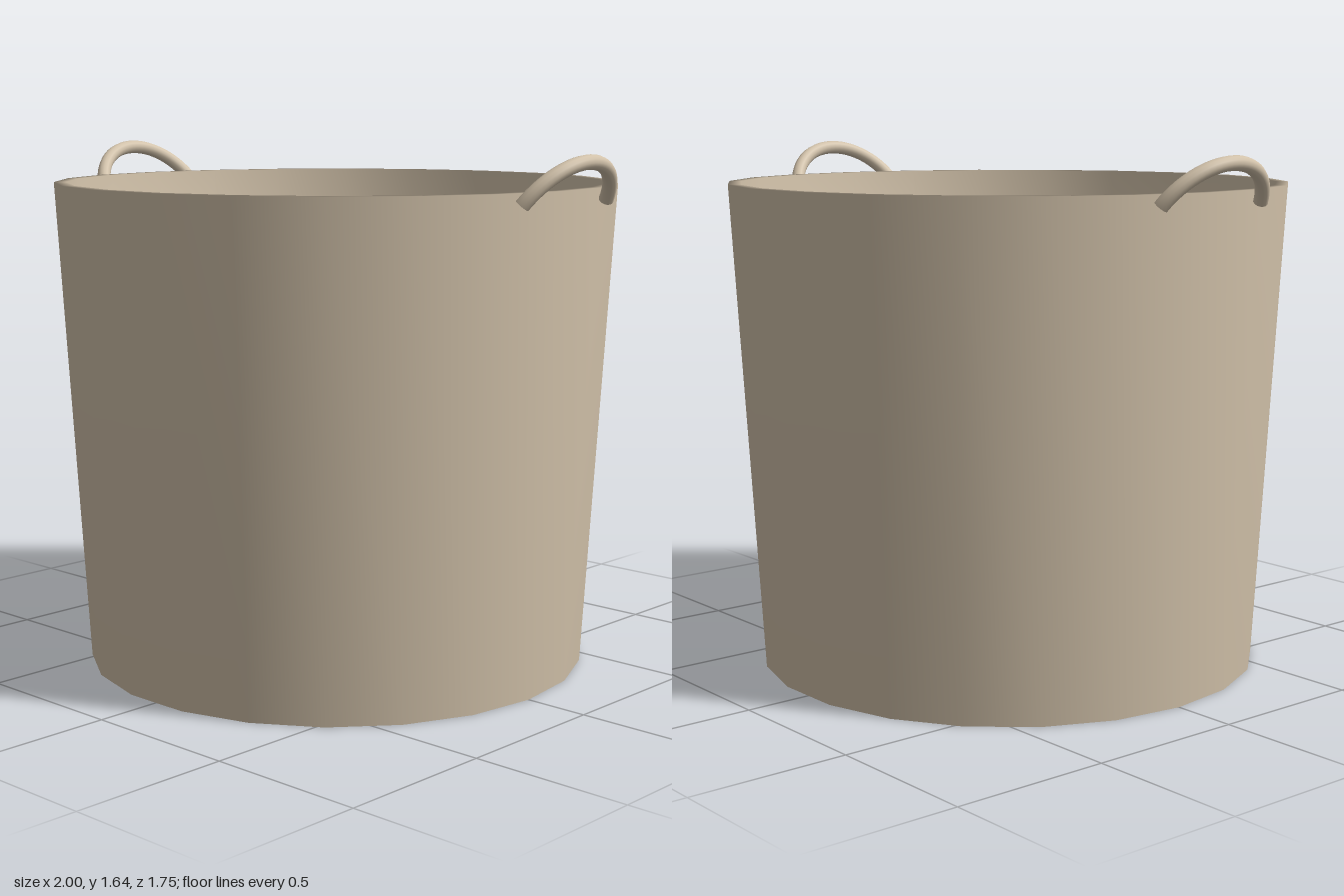
import * as THREE from 'three';
import { mergeGeometries } from 'three/addons/utils/BufferGeometryUtils.js';

const HEIGHT = 1.53;
const WALL = 0.037;
const outerRadius = (y) => 0.797 + (0.885 - 0.797) * (y / HEIGHT);

// Half-hoop with closed ends, feet at the origin's height, bulging up in the ZY plane
function handleGeometry() {
  const radius = 0.211, tube = 0.022, arc = 2 * Math.asin(0.2 / radius);
  const hoop = new THREE.TorusGeometry(radius, tube, 12, 28, arc);
  const startCap = new THREE.CircleGeometry(tube, 12).rotateX(Math.PI / 2).translate(radius, 0, 0);
  const endCap = new THREE.CircleGeometry(tube, 12).rotateX(-Math.PI / 2).translate(radius, 0, 0).rotateZ(arc);
  return mergeGeometries([hoop, startCap, endCap])
    .rotateZ((Math.PI - arc) / 2)
    .translate(0, -radius * Math.cos(arc / 2), 0)
    .rotateY(Math.PI / 2);
}

export function createModel() {
  const model = new THREE.Group();
  model.name = 'basket';
  const beige = new THREE.MeshStandardMaterial({ color: 0xd2c2aa });
  beige.name = 'beige';

  const add = (parent, geometry, name) => {
    const mesh = new THREE.Mesh(geometry, beige);
    mesh.name = name;
    parent.add(mesh);
    return mesh;
  };

  // Tapered 22-sided tub: underside, outer wall, rim, inner wall and floor, softly shaded
  const floorY = 0.035;
  const profile = [
    [0, 0],
    [0.765, 0],
    [outerRadius(0), 0],
    [outerRadius(HEIGHT), HEIGHT],
    [outerRadius(HEIGHT) - WALL, HEIGHT],
    [outerRadius(floorY) - WALL, floorY],
    [0, floorY],
  ].map(([r, y]) => new THREE.Vector2(r, y));
  add(model, new THREE.LatheGeometry(profile, 22, Math.PI / 2), 'tub');

  // Thin round hoops along the inner wall
  for (let i = 1; i <= 5; i++) {
    const y = (HEIGHT * i) / 6;
    const ring = new THREE.TorusGeometry(outerRadius(y) - WALL - 0.003, 0.016, 10, 64).rotateX(Math.PI / 2);
    add(model, ring, 'innerHoop' + i).position.y = y;
  }

  // Outward-tilted handles on both sides
  const hoop = handleGeometry();
  for (const [name, turn] of [['leftHandle', 0], ['rightHandle', Math.PI]]) {
    const side = new THREE.Group();
    side.name = name;
    side.rotation.y = turn;
    const grip = add(side, hoop, name + 'Grip');
    grip.position.set(0.896, 1.497, 0);
    grip.rotation.z = -0.61;
    model.add(side);
  }

  return model;
}
